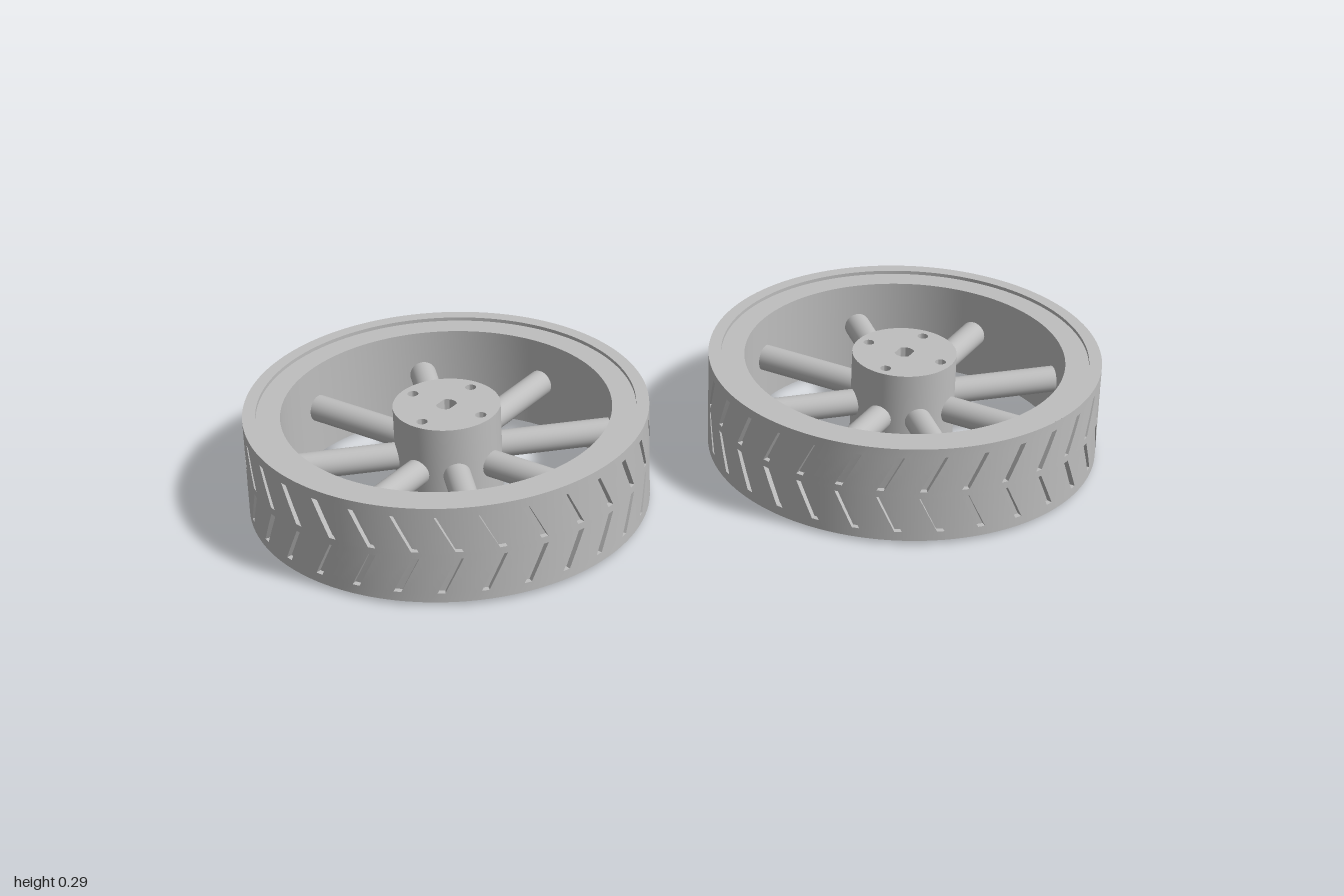
import * as THREE from 'three';
import { toCreasedNormals } from 'three/addons/utils/BufferGeometryUtils.js';

const R = 0.545, BOTTOM = 0.01, TOP = 0.29, MID = 0.15;
const HUB_R = 0.145, GROOVES = 30;

// Outer tread: a cylinder wall with two rows of slanted grooves forming chevrons
function treadGeometry(dir) {
  const pos = [];
  const cell = (Math.PI * 2) / GROOVES, groove = 0.02 / R, lands = 4, depth = 0.015;
  const rows = [BOTTOM, 0.037, 0.088, 0.14, MID, 0.16, 0.211, 0.263, TOP];
  const isSlot = (j) => [1, 2, 5, 6].includes(j);
  const point = (a, y, r) => {
    const t = a + dir * (0.03 - 0.5 * Math.abs(y - MID)) / R;
    return [r * Math.sin(t), y, r * Math.cos(t)];
  };
  const quad = (a, b, c, d) => pos.push(...a, ...b, ...c, ...a, ...c, ...d);
  const patch = (a0, a1, y0, y1, r) =>
    quad(point(a0, y0, r), point(a1, y0, r), point(a1, y1, r), point(a0, y1, r));

  for (let i = 0; i < GROOVES; i++) {
    const a0 = i * cell - groove / 2, a1 = a0 + groove, step = (cell - groove) / lands;
    for (let j = 0; j < rows.length - 1; j++) {
      const y0 = rows[j], y1 = rows[j + 1], r = R - depth;
      for (let k = 0; k < lands; k++) patch(a1 + k * step, a1 + (k + 1) * step, y0, y1, R);
      if (!isSlot(j)) {
        patch(a0, a1, y0, y1, R);
        continue;
      }
      // groove floor, side walls and end walls
      patch(a0, a1, y0, y1, r);
      quad(point(a0, y0, R), point(a0, y0, r), point(a0, y1, r), point(a0, y1, R));
      quad(point(a1, y0, r), point(a1, y0, R), point(a1, y1, R), point(a1, y1, r));
      if (!isSlot(j - 1)) quad(point(a0, y0, R), point(a1, y0, R), point(a1, y0, r), point(a0, y0, r));
      if (!isSlot(j + 1)) quad(point(a0, y1, r), point(a1, y1, r), point(a1, y1, R), point(a0, y1, R));
    }
  }
  const geo = new THREE.BufferGeometry();
  geo.setAttribute('position', new THREE.Float32BufferAttribute(pos, 3));
  return toCreasedNormals(geo, 0.5);
}

// Rim: flat underside, inner wall and a slightly recessed top ledge
function rimGeometry() {
  const profile = [
    [R, TOP], [0.51, TOP], [0.51, TOP - 0.01], [0.445, TOP - 0.01], [0.445, BOTTOM], [R, BOTTOM],
  ].map(([x, y]) => new THREE.Vector2(x, y));
  return toCreasedNormals(new THREE.LatheGeometry(profile, 150), 0.5);
}

// Axle hole with two flats
function axleHole() {
  const p = new THREE.Path();
  p.absarc(0, 0, 0.028, 0.7, Math.PI - 0.7);
  p.absarc(0, 0, 0.028, Math.PI + 0.7, Math.PI * 2 - 0.7);
  p.closePath();
  return p;
}

// One horizontal slice of the hub, with axle and bolt holes
function hubSlice(shape, y0, y1, firstBolt) {
  shape.holes.push(axleHole());
  for (let i = firstBolt; i < 4; i++) {
    const a = (i * Math.PI) / 2;
    shape.holes.push(new THREE.Path().absarc(0.112 * Math.cos(a), 0.112 * Math.sin(a), 0.015, 0, Math.PI * 2));
  }
  const geo = new THREE.ExtrudeGeometry(shape, { depth: y1 - y0, bevelEnabled: false, curveSegments: 40 });
  geo.rotateX(-Math.PI / 2).translate(0, y0, 0);
  return toCreasedNormals(geo, 0.5);
}

function hubGeometries() {
  const disc = () => new THREE.Shape().absarc(0, 0, HUB_R, 0, Math.PI * 2);

  // bottom slice with a nut slot
  const base = disc();
  base.holes.push(new THREE.Path([[0.05, -0.03], [0.07, -0.03], [0.07, 0.03], [0.05, 0.03]]
    .map(([x, y]) => new THREE.Vector2(x, y))));

  // slice with the set screw channel running in to the nut slot
  const w = 0.016, a = Math.asin(w / HUB_R);
  const channel = new THREE.Shape();
  channel.absarc(0, 0, HUB_R, a, Math.PI * 2 - a);
  for (const [x, y] of [[0.07, -w], [0.07, -0.03], [0.05, -0.03], [0.05, 0.03], [0.07, 0.03], [0.07, w]])
    channel.lineTo(x, y);
  channel.closePath();

  return [
    hubSlice(base, 0, 0.03, 0),
    hubSlice(channel, 0.03, 0.06, 1),
    hubSlice(disc(), 0.06, TOP, 0),
  ];
}

export function createModel() {
  const grey = new THREE.MeshStandardMaterial({ color: 0xbebebe });
  grey.name = 'grey plastic';

  const rim = rimGeometry();
  const hubParts = hubGeometries();
  const spoke = new THREE.CylinderGeometry(0.037, 0.037, 0.32, 32, 1);
  spoke.rotateZ(-Math.PI / 2).translate(0.295, MID, 0);

  const add = (parent, name, geo) => {
    const mesh = new THREE.Mesh(geo, grey);
    mesh.name = name;
    parent.add(mesh);
    return mesh;
  };

  const model = new THREE.Group();
  model.name = 'wheelPair';

  // two wheels lying flat, with opposite-handed treads
  for (const side of [-1, 1]) {
    const wheel = new THREE.Group();
    wheel.name = side < 0 ? 'rightWheel' : 'leftWheel';
    add(wheel, 'tread', treadGeometry(-side));
    add(wheel, 'rim', rim);
    const hub = new THREE.Group();
    hub.name = 'hub';
    ['hubBase', 'hubScrewChannel', 'hubBody'].forEach((n, i) => add(hub, n, hubParts[i]));
    wheel.add(hub);
    for (let i = 0; i < 8; i++) add(wheel, 'spoke', spoke).rotation.y = (i * Math.PI) / 4;
    wheel.position.set(side * 0.455, 0, -side * 0.455);
    model.add(wheel);
  }
  return model;
}
